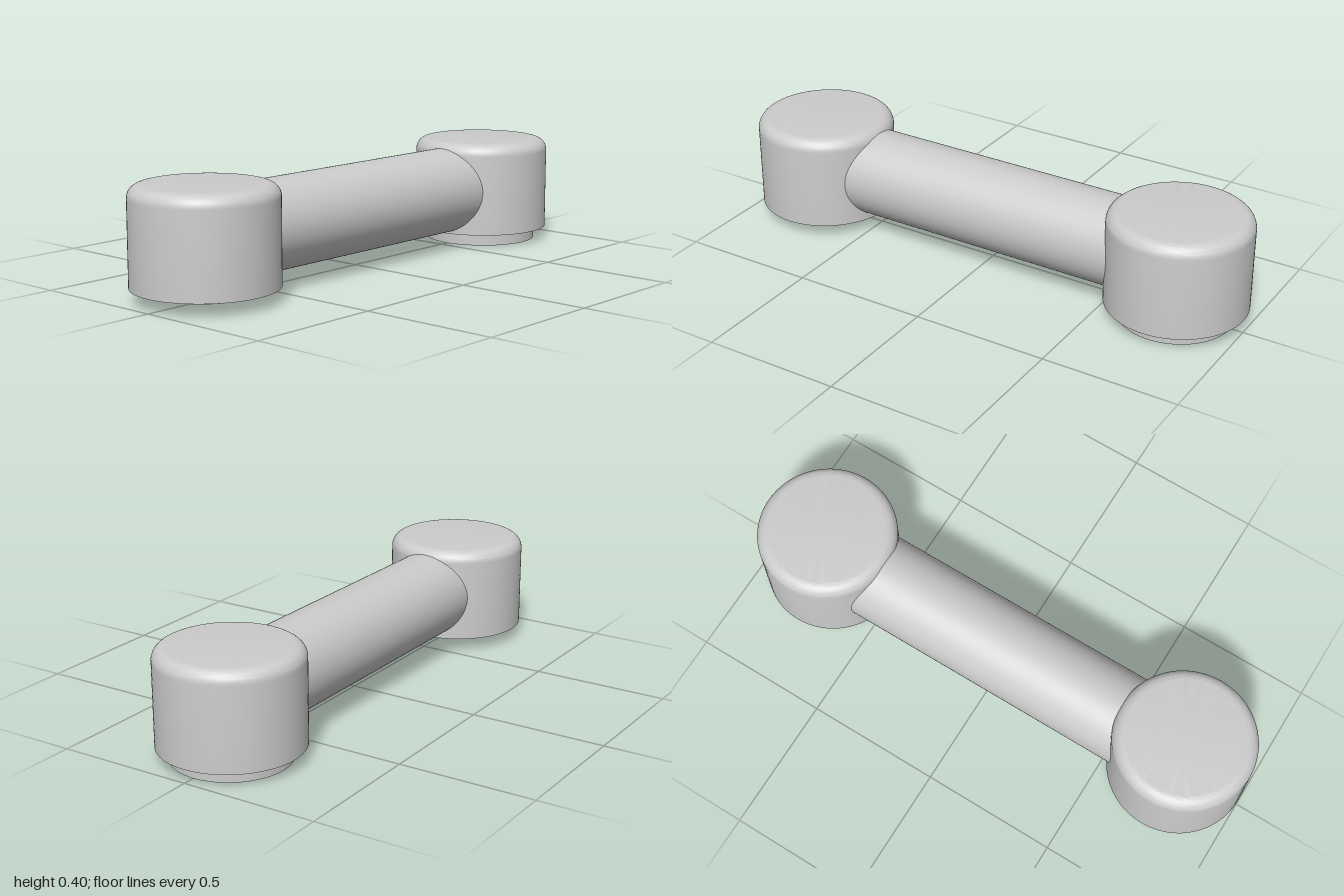
import * as THREE from 'three';
import { toCreasedNormals } from 'three/addons/utils/BufferGeometryUtils.js';

const SEGMENTS = 96;
const HEAD = { radius: 0.255, bottom: 0.048, top: 0.395, fillet: 0.045, z: 0.745 };
const material = new THREE.MeshStandardMaterial({ color: 0xcccccc });

function addMesh(parent, name, geometry, x, y, z) {
  const mesh = new THREE.Mesh(geometry, material);
  mesh.name = name;
  mesh.position.set(x, y, z);
  parent.add(mesh);
  return mesh;
}

// Round head: flat base, straight wall, rounded upper rim, flat top
function headGeometry() {
  const { radius, bottom, top, fillet } = HEAD;
  const profile = [new THREE.Vector2(0, bottom), new THREE.Vector2(radius, bottom)];
  const steps = 10;
  for (let i = 0; i <= steps; i++) {
    const a = (i / steps) * Math.PI / 2;
    profile.push(new THREE.Vector2(
      radius - fillet + fillet * Math.cos(a),
      top - fillet + fillet * Math.sin(a)
    ));
  }
  profile.push(new THREE.Vector2(0, top));
  return toCreasedNormals(new THREE.LatheGeometry(profile, SEGMENTS), 0.6);
}

// Head with a round foot that projects below its base
function createEnd(name, z, footRadius, footBottom) {
  const end = new THREE.Group();
  end.name = name;
  end.position.z = z;
  addMesh(end, 'head', headGeometry(), 0, 0, 0);
  const footTop = HEAD.bottom + 0.01;
  const foot = new THREE.CylinderGeometry(footRadius, footRadius, footTop - footBottom, SEGMENTS);
  addMesh(end, 'foot', foot, 0, (footTop + footBottom) / 2, 0);
  return end;
}

export function createModel() {
  const model = new THREE.Group();
  model.name = 'handle';

  // Ends: narrow shallow foot in front, wide deep foot behind
  model.add(createEnd('frontEnd', HEAD.z, 0.163, 0.025));
  model.add(createEnd('backEnd', -HEAD.z, 0.21, 0));

  // Round grip bar running into both heads
  const bar = new THREE.CylinderGeometry(0.162, 0.162, 1.24, SEGMENTS, 1, true);
  bar.rotateX(Math.PI / 2);
  addMesh(model, 'gripBar', bar, 0, 0.212, 0);

  return model;
}
